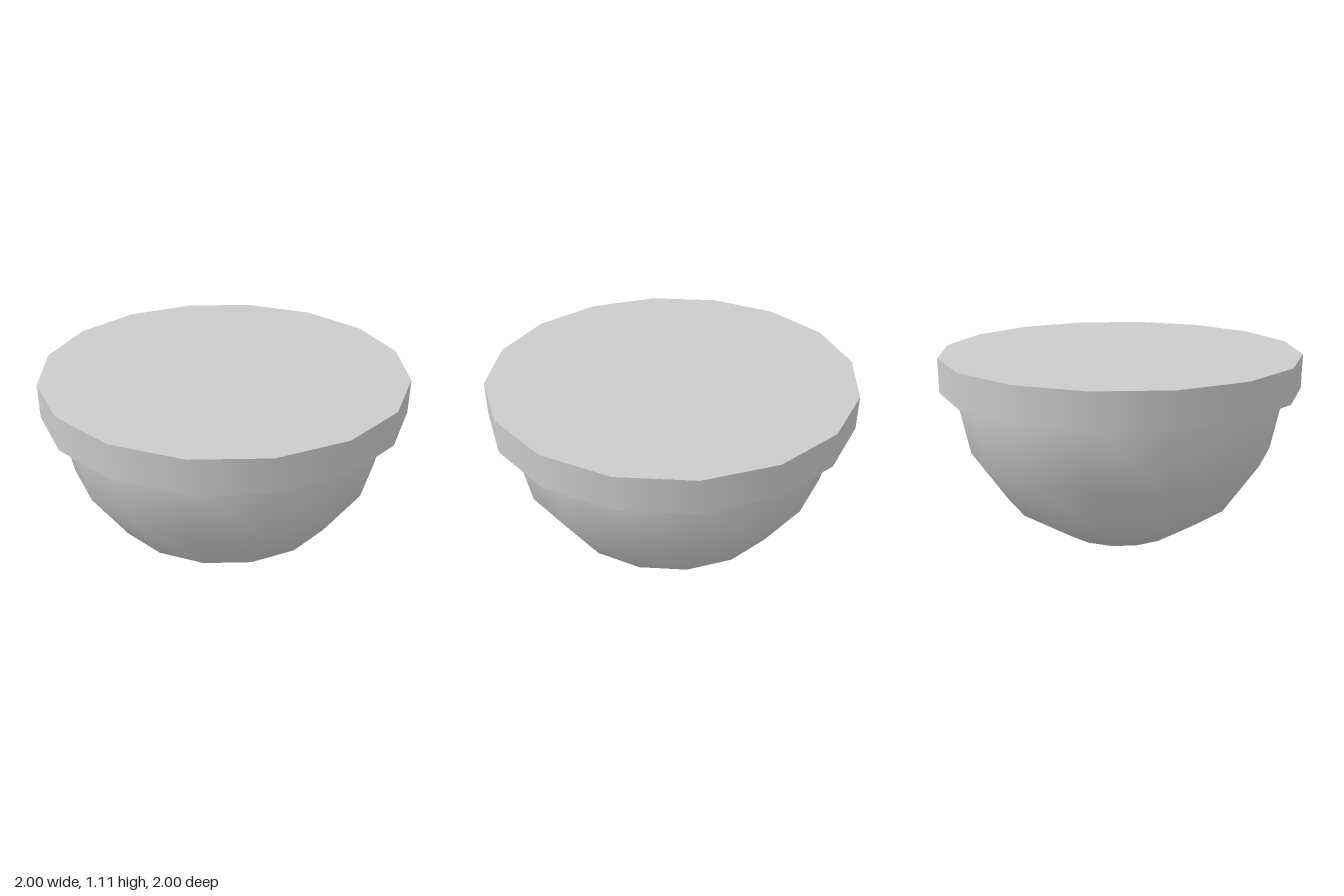
import * as THREE from 'three';

const SIDES = 16;
const BOWL_RADIUS = 0.92;
const RIM_RADIUS = 1;
const RIM_HEIGHT = 0.187;

export function createModel() {
  const model = new THREE.Group();
  model.name = 'domedBowl';
  const material = new THREE.MeshStandardMaterial({ color: 0xcccccc });

  // Lower half of a smooth sphere, resting on its pole
  const bowl = new THREE.Mesh(
    new THREE.SphereGeometry(BOWL_RADIUS, SIDES, 4, 0, Math.PI * 2, Math.PI / 2, Math.PI / 2),
    material
  );
  bowl.name = 'bowl';
  bowl.position.y = BOWL_RADIUS;

  // Wider flat disc that closes the bowl
  const rim = new THREE.Mesh(
    new THREE.CylinderGeometry(RIM_RADIUS, RIM_RADIUS, RIM_HEIGHT, SIDES),
    material
  );
  rim.name = 'rim';
  rim.position.y = BOWL_RADIUS + RIM_HEIGHT / 2;

  model.add(bowl, rim);
  return model;
}
